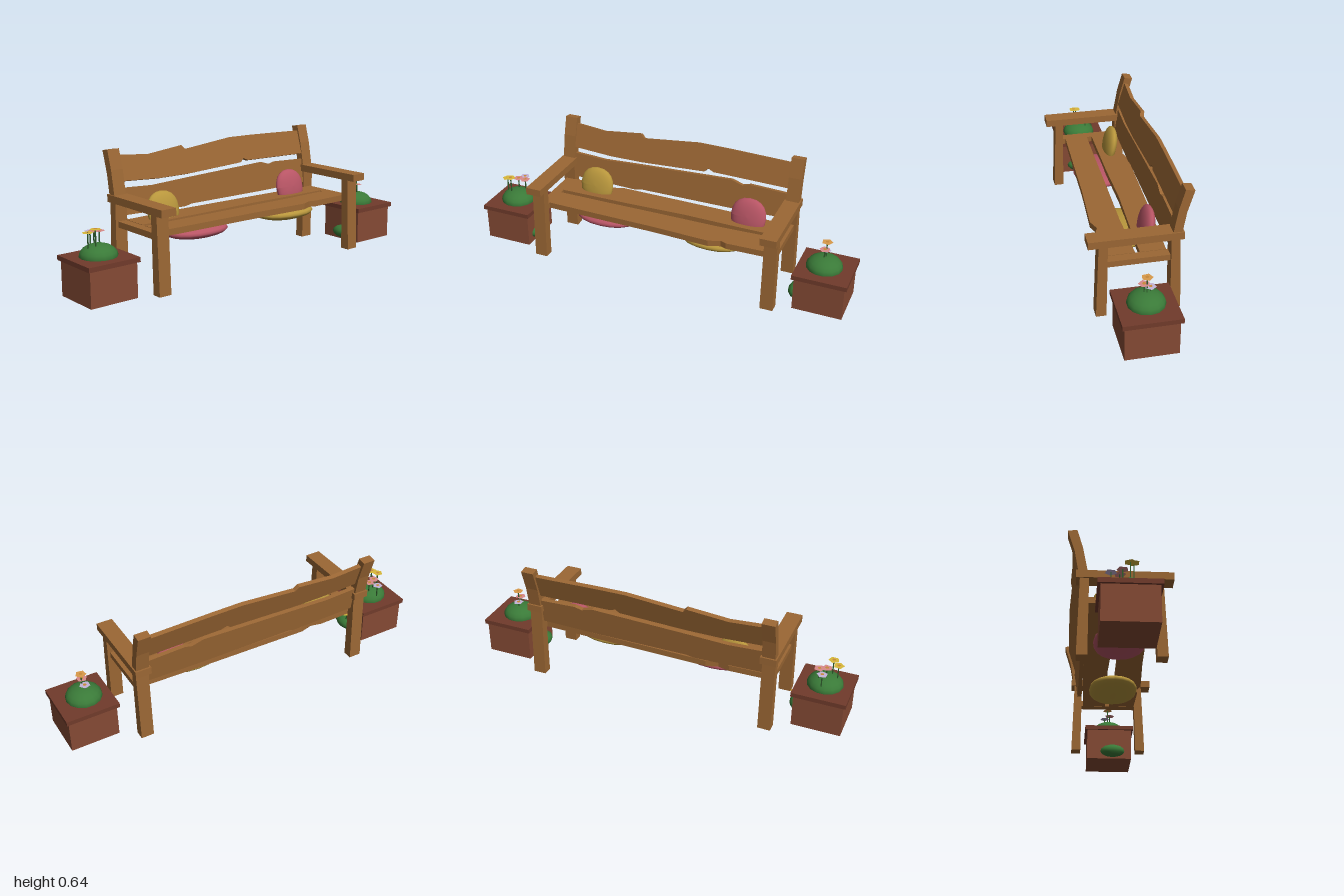
import * as THREE from 'three';

const mat = (color, flatShading = false, side = THREE.FrontSide) =>
  new THREE.MeshStandardMaterial({ color, flatShading, side });
const WOOD = mat(0x9b6734, true);
const CLAY = mat(0x854a34, true);
const RIM = mat(0x713b2b, true);
const GREEN = mat(0x3a7a38);
const STEM = mat(0x2f5c2c, true);
const RED = mat(0xb85565);
const YELLOW = mat(0xb8963c);

const shapeOf = pts => new THREE.Shape(pts.map(p => new THREE.Vector2(p[0], p[1])));
const extrude = (pts, depth) =>
  new THREE.ExtrudeGeometry(shapeOf(pts), { depth, bevelEnabled: false });

function add(parent, name, geometry, material, x = 0, y = 0, z = 0) {
  const m = new THREE.Mesh(geometry, material);
  m.name = name;
  m.position.set(x, y, z);
  parent.add(m);
  return m;
}

// Side profile given as [z, y], extruded across x
function sideProfile(pts, width) {
  return extrude(pts, width).rotateY(-Math.PI / 2).translate(width / 2, 0, 0);
}

// Seat plank outlined as [x, z], lying flat
function seatPlank(pts, thickness) {
  return extrude(pts.map(([x, z]) => [x, -z]), thickness).rotateX(-Math.PI / 2);
}

// Back board outlined as [x, y], leaning back around its middle height
function backBoard(parent, name, pts, midY, z, lean) {
  const t = 0.022;
  const g = extrude(pts.map(([x, y]) => [x, y - midY]), t).translate(0, 0, -t / 2).rotateX(-lean);
  return add(parent, name, g, WOOD, 0, midY, z);
}

// Flattened ellipsoid with a slightly squared outline
function cushion(parent, name, material, [rx, ry, rz], [x, y, z]) {
  const g = new THREE.SphereGeometry(1, 20, 12).rotateX(Math.PI / 2);
  const p = g.attributes.position;
  for (let i = 0; i < p.count; i++) {
    const sq = v => Math.sign(v) * Math.pow(Math.abs(v), 0.9);
    p.setXY(i, sq(p.getX(i)), sq(p.getY(i)));
  }
  g.scale(rx, ry, rz);
  g.computeVertexNormals();
  return add(parent, name, g, material, x, y, z);
}

// Thin stem with a flat five-sided bloom and a small heart
function flower(parent, color, x, z, baseY, topY, turn) {
  const f = new THREE.Group();
  f.name = 'flower';
  f.position.set(x, baseY, z);
  const h = topY - baseY;
  add(f, 'stem', new THREE.BoxGeometry(0.005, h, 0.005), STEM, 0, h / 2, 0);
  const flat = r => new THREE.CircleGeometry(r, 5).rotateX(-Math.PI / 2).rotateY(turn);
  add(f, 'petals', flat(0.028), mat(color, true, THREE.DoubleSide), 0, h, 0);
  add(f, 'heart', flat(0.01), mat(0xc98a3a, true, THREE.DoubleSide), 0, h + 0.002, 0);
  parent.add(f);
}

function planter(x, bushX, blooms) {
  const p = new THREE.Group();
  p.name = 'planter';
  add(p, 'planterBox', new THREE.BoxGeometry(0.25, 0.176, 0.252), CLAY, x, 0.088, 0.021);
  add(p, 'planterRim', new THREE.BoxGeometry(0.273, 0.023, 0.276), RIM, x, 0.1845, 0.021);
  const dome = new THREE.SphereGeometry(1, 14, 10).scale(0.091, 0.057, 0.09);
  add(p, 'bush', dome, GREEN, bushX, 0.2, 0.02);
  // Small plant at the inner foot of the planter
  const side = Math.sign(x);
  const small = new THREE.SphereGeometry(1, 12, 8).scale(0.05, 0.036, 0.07);
  add(p, 'footPlant', small, GREEN, side * 0.741, 0.045, 0.04);
  blooms.forEach(([c, fx, fz, top], i) => flower(p, c, fx, fz, 0.23, top, i * 0.7));
  return p;
}

export function createModel() {
  const root = new THREE.Group();
  root.name = 'gardenBench';

  // Legs, posts, arms and end rails, mirrored
  const frontLeg = [[0.21, 0], [0.16, 0], [0.152, 0.385], [0.195, 0.385]];
  const backPost = [[-0.147, 0], [-0.143, 0.38], [-0.15, 0.42], [-0.172, 0.54], [-0.2, 0.637],
    [-0.243, 0.63], [-0.21, 0.52], [-0.193, 0.42], [-0.185, 0.38], [-0.197, 0]];
  for (const s of [-1, 1]) {
    add(root, 'frontLeg', sideProfile(frontLeg, 0.066), WOOD, s * 0.628);
    add(root, 'backPost', sideProfile(backPost, 0.066), WOOD, s * 0.628);
    add(root, 'armrest', new THREE.BoxGeometry(0.082, 0.037, 0.447), WOOD, s * 0.627, 0.4015, 0.0215);
    add(root, 'endRail', new THREE.BoxGeometry(0.05, 0.03, 0.31), WOOD, s * 0.622, 0.277, 0.003);
  }

  // Rough-edged seat planks
  const front = [[-0.6, 0.14], [-0.3, 0.147], [0, 0.153], [0.3, 0.168], [0.36, 0.145], [0.39, 0.157],
    [0.6, 0.152], [0.6, 0.012], [0.3, 0.022], [0, 0.02], [-0.3, 0.02], [-0.6, 0.018]];
  const back = [[-0.6, -0.01], [-0.2, -0.012], [0.1, -0.02], [0.4, -0.012], [0.6, -0.01],
    [0.6, -0.135], [0.2, -0.146], [-0.3, -0.155], [-0.36, -0.137], [-0.42, -0.15], [-0.6, -0.145]];
  add(root, 'frontSeatPlank', seatPlank(front, 0.031), WOOD, 0, 0.263, 0);
  add(root, 'backSeatPlank', seatPlank(back, 0.031), WOOD, 0, 0.263, 0);

  // Rough-edged back boards
  backBoard(root, 'upperBackBoard', [[-0.6, 0.605], [-0.43, 0.59], [-0.22, 0.612], [-0.2, 0.59],
    [0.1, 0.62], [0.26, 0.618], [0.6, 0.608], [0.6, 0.477], [0.2, 0.485], [0.17, 0.499], [0.15, 0.479],
    [-0.2, 0.463], [-0.38, 0.463], [-0.6, 0.476]], 0.54, -0.192, 0.29);
  backBoard(root, 'lowerBackBoard', [[-0.6, 0.447], [-0.42, 0.437], [-0.2, 0.447], [0.3, 0.466],
    [0.36, 0.447], [0.4, 0.458], [0.6, 0.45], [0.6, 0.318], [0.3, 0.312], [-0.2, 0.312],
    [-0.24, 0.304], [-0.6, 0.314]], 0.38, -0.165, 0.14);

  // Upright cushions on the seat and broad ones beneath it
  for (const [s, m] of [[-1, YELLOW], [1, RED]]) {
    cushion(root, 'seatCushion', m, [0.093, 0.095, 0.032], [s * 0.426, 0.329, -0.08]).rotation.x = -0.22;
  }
  const low = [0.177, 0.128, 0.038];
  cushion(root, 'lowCushion', RED, low, [-0.306, 0.232, 0.017]).rotation.x = -Math.PI / 2;
  cushion(root, 'lowCushion', YELLOW, low, [0.285, 0.232, 0.017]).rotation.x = -Math.PI / 2;

  // Planters with flowers: [color, x, z, height]
  const pink = 0xd98a8a, yellow = 0xd9b93a, lilac = 0xc4b4d8, orange = 0xd99a4a;
  const right = planter(-0.864, -0.864, [[lilac, -0.86, -0.055, 0.3], [pink, -0.835, -0.015, 0.305],
    [pink, -0.87, -0.005, 0.31], [yellow, -0.92, 0.025, 0.317], [yellow, -0.89, 0.042, 0.332]]);
  flower(right, yellow, -0.722, 0.02, 0.05, 0.115, 0.3);
  const left = planter(0.864, 0.855, [[lilac, 0.85, 0.0, 0.28], [pink, 0.852, 0.03, 0.3],
    [orange, 0.858, 0.018, 0.337]]);
  root.add(right, left);
  return root;
}
